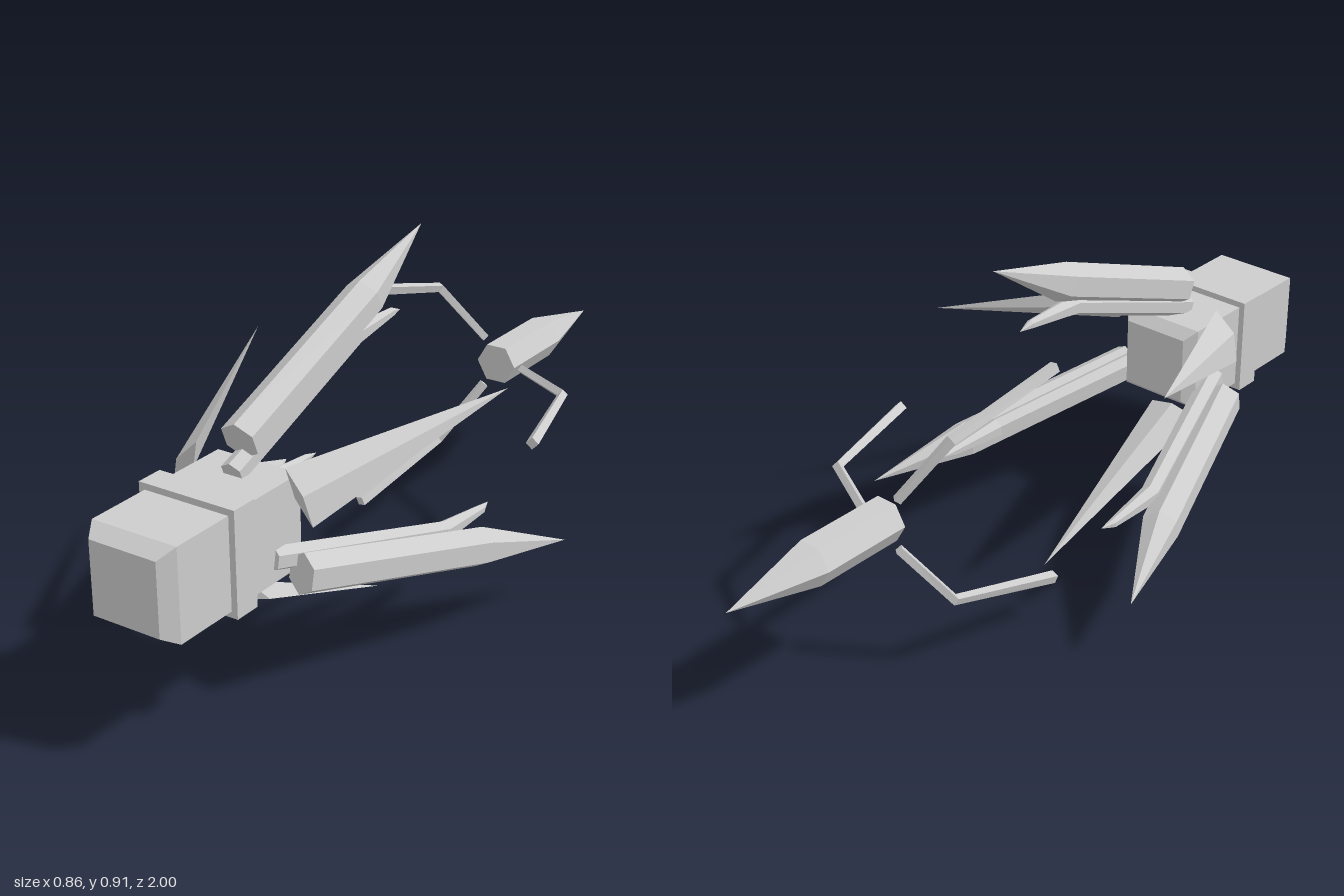
import * as THREE from 'three';

const AXIS_Y = 0.42; // height of the long axis
const grey = new THREE.MeshStandardMaterial({ color: 0xcccccc });
grey.name = 'plainGrey';

// Faceted loft in the plane (radial x, z). Stations are [radius from axis, z, section size];
// each section has a corner pointing outwards, and 'wide' stretches it sideways.
function loft(stations, sides, wide = 1) {
  const pts = stations.map(([r, z]) => new THREE.Vector2(r, z));
  const rings = stations.map(([r, z, size], i) => {
    const t = new THREE.Vector2();
    if (i > 0) t.add(pts[i].clone().sub(pts[i - 1]).normalize());
    if (i < pts.length - 1) t.add(pts[i + 1].clone().sub(pts[i]).normalize());
    t.normalize();
    return Array.from({ length: sides }, (_, j) => {
      const a = (j / sides) * Math.PI * 2;
      const c = Math.cos(a) * size;
      return [r - c * t.y, Math.sin(a) * size * wide, z + c * t.x];
    });
  });
  const pos = [];
  const tri = (a, b, c) => pos.push(...a, ...b, ...c);
  const last = rings.length - 1;
  for (let j = 0; j < sides; j++) {
    const k = (j + 1) % sides;
    for (let i = 0; i < last; i++) {
      tri(rings[i][j], rings[i + 1][j], rings[i][k]);
      if (stations[i + 1][2] > 0) tri(rings[i][k], rings[i + 1][j], rings[i + 1][k]);
    }
    if (j > 0 && k > 0) {
      tri(rings[0][0], rings[0][j], rings[0][k]);
      if (stations[last][2] > 0) tri(rings[last][0], rings[last][k], rings[last][j]);
    }
  }
  const geo = new THREE.BufferGeometry();
  geo.setAttribute('position', new THREE.Float32BufferAttribute(pos, 3));
  geo.computeVertexNormals();
  return geo;
}

export function createModel() {
  const model = new THREE.Group();
  model.name = 'claw';

  const add = (name, geo, degrees = 0) => {
    const mesh = new THREE.Mesh(geo, grey);
    mesh.name = name;
    mesh.position.y = AXIS_Y;
    mesh.rotation.z = THREE.MathUtils.degToRad(degrees);
    model.add(mesh);
    return mesh;
  };

  // Square body with bevelled ends, and its collar
  const d = Math.SQRT2;
  add('body', loft([[0, 1, 0.091 * d], [0, 0.96, 0.115 * d], [0, 0.535, 0.115 * d], [0, 0.505, 0.09 * d]], 4), 45);
  add('collar', new THREE.BoxGeometry(0.262, 0.262, 0.07)).position.z = 0.755;

  // Three fingers: a long hexagonal blade with a thin rod beneath it
  const blade = loft([[0.188, 0.6, 0.05], [0.378, 0.112, 0.05], [0.494, -0.133, 0]], 6);
  const rod = loft([[0.12, 0.63, 0.03], [0.296, 0.16, 0.026], [0.305, 0, 0.012], [0.3, -0.04, 0]], 6);
  for (const angle of [90, 210, 330]) {
    add('fingerBlade', blade, angle);
    add('fingerRod', rod, angle);
  }

  // Three flat spikes between the fingers
  const spike = loft([[0.185, 0.6, 0.022], [0.42, 0.055, 0]], 4, 3.3);
  for (const angle of [30, 150, 270]) add('spike', spike, angle);

  // Rear dart and the three bent arms around it
  add('dart', loft([[0, -0.507, 0.057], [0, -0.75, 0.057], [0, -1, 0]], 6));
  const arm = loft([[0.34, -0.11, 0.016], [0.252, -0.42, 0.014], [0.077, -0.512, 0.013]], 4);
  for (const angle of [0, 120, 240]) add('arm', arm, angle);

  return model;
}
